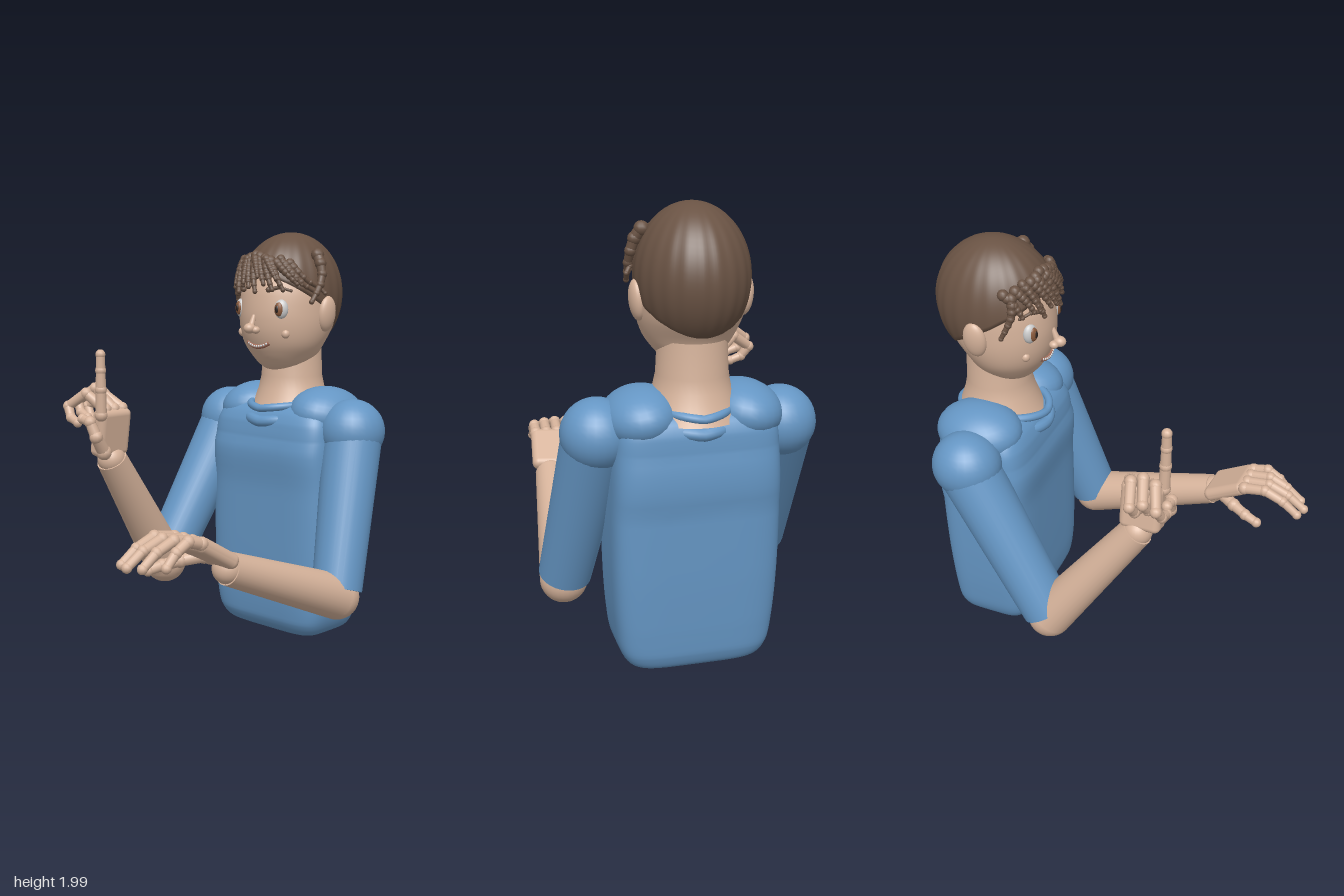
import * as THREE from 'three';
import { mergeVertices } from 'three/addons/utils/BufferGeometryUtils.js';
import { RoundedBoxGeometry } from 'three/addons/geometries/RoundedBoxGeometry.js';

const mat = (color) => {
  const m = new THREE.MeshStandardMaterial();
  m.color.set(color);
  return m;
};
const V = (p) => new THREE.Vector3(...p);
const UP = new THREE.Vector3(0, 1, 0);
const CX = -0.02; // middle of the body
const CZ = -0.57;

// Smooth closed-ring surface; fn(angle, v) gives a point, v runs bottom to top
function surface(fn, nu, nv) {
  const pos = [], idx = [];
  for (let j = 0; j <= nv; j++) for (let i = 0; i < nu; i++) pos.push(...fn((i / nu) * Math.PI * 2, j / nv));
  for (let j = 0; j < nv; j++) for (let i = 0; i < nu; i++) {
    const a = j * nu + i, b = j * nu + ((i + 1) % nu), c = a + nu, d = b + nu;
    idx.push(a, c, b, b, c, d);
  }
  let g = new THREE.BufferGeometry();
  g.setAttribute('position', new THREE.Float32BufferAttribute(pos, 3));
  g.setIndex(idx);
  g = mergeVertices(g, 1e-5);
  g.computeVertexNormals();
  return g;
}

// Loft through rows of [y, half width, front z, back z], n sets how square the sections are
function loft(rows, n, nv) {
  const curves = [0, 2].map((k) => new THREE.CatmullRomCurve3(
    rows.map((r) => (k ? new THREE.Vector3(r[2], r[3], 0) : new THREE.Vector3(r[1], r[0], 0)))));
  const pw = (t) => Math.sign(t) * Math.abs(t) ** (2 / n);
  return surface((a, v) => {
    const s = curves[0].getPoint(v), z = curves[1].getPoint(v);
    return [CX + s.x * pw(Math.cos(a)), s.y, (z.x + z.y) / 2 + ((z.x - z.y) / 2) * pw(Math.sin(a))];
  }, 64, nv);
}

export function createModel() {
  const model = new THREE.Group();
  const skin = mat(0xd6b39b), blue = mat(0x6596c4), brown = mat(0x6a5344);
  const white = mat(0xe4e4e4), iris = mat(0x8a5a3c), dark = mat(0x2c2320), lip = mat(0xa8705c);
  brown.side = THREE.DoubleSide;

  const add = (name, geo, m, parent = model) => {
    const mesh = new THREE.Mesh(geo, m);
    mesh.name = name;
    parent.add(mesh);
    return mesh;
  };
  const ball = (name, m, p, r, rot = [0, 0, 0], parent = model) => {
    const b = add(name, new THREE.SphereGeometry(1, 28, 18), m, parent);
    b.position.set(...p);
    b.scale.set(...r);
    b.rotation.set(...rot);
    return b;
  };
  // Tapered cylinder between two points
  const limb = (name, m, a, b, ra, rb, parent = model, sides = 28) => {
    const A = V(a), B = V(b), d = B.clone().sub(A);
    const c = add(name, new THREE.CylinderGeometry(rb, ra, d.length(), sides), m, parent);
    c.position.copy(A).lerp(B, 0.5);
    c.quaternion.setFromUnitVectors(UP, d.normalize());
    return c;
  };
  // Jointed chain of segments with a ball at every joint
  const chain = (name, m, pts, r0, r1) => {
    const g = new THREE.Group();
    g.name = name;
    model.add(g);
    pts.forEach((p, i) => {
      const r = r0 + ((r1 - r0) * i) / (pts.length - 1);
      const b = add('joint', new THREE.SphereGeometry(r * 1.08, 12, 8), m, g);
      b.position.set(...p);
      if (i) limb('segment', m, pts[i - 1], p, r * 1.04, r * 0.93, g, 12);
    });
  };

  // Torso, shoulder yoke, collar and neck
  add('torso', loft([
    [0.01, 0, -0.56, -0.56], [0.012, 0.2, -0.46, -0.68], [0.04, 0.29, -0.39, -0.74], [0.1, 0.328, -0.355, -0.765],
    [0.22, 0.348, -0.342, -0.775], [0.45, 0.362, -0.338, -0.785], [0.75, 0.364, -0.338, -0.79],
    [1.0, 0.355, -0.338, -0.79], [1.08, 0.345, -0.35, -0.785], [1.13, 0.32, -0.375, -0.765],
    [1.165, 0.25, -0.42, -0.72], [1.17, 0, -0.56, -0.56]], 5, 66), blue);
  for (const s of [-1, 1]) {
    ball('shoulderYoke', blue, [CX + s * 0.225, 1.13, -0.585], [0.165, 0.125, 0.205], [0, 0, -s * 0.18]);
    ball('shoulder', blue, [CX + s * 0.4, 1.055, -0.565], [0.155, 0.155, 0.16]);
  }
  for (const [y, rx, rz, t] of [[1.15, 0.165, 0.215, 0.019], [1.085, 0.185, 0.21, 0.028]]) {
    const pts = Array.from({ length: 32 }, (_, i) => {
      const a = (i / 32) * Math.PI * 2;
      return new THREE.Vector3(CX + rx * Math.cos(a), y + 0.02 * Math.abs(Math.cos(a)), -0.565 + rz * Math.sin(a));
    });
    add('collar', new THREE.TubeGeometry(new THREE.CatmullRomCurve3(pts, true), 64, t, 12, true), blue);
  }
  const neck = add('neck', new THREE.LatheGeometry(
    [[0.215, 1.12], [0.19, 1.17], [0.165, 1.24], [0.152, 1.3], [0.145, 1.45]].map((p) => new THREE.Vector2(...p)), 40), skin);
  neck.position.set(CX, 0, -0.585);

  // Head
  add('head', loft([
    [1.33, 0, -0.5, -0.5], [1.333, 0.06, -0.44, -0.57], [1.36, 0.115, -0.4, -0.63], [1.4, 0.155, -0.365, -0.69],
    [1.46, 0.196, -0.33, -0.72], [1.54, 0.222, -0.305, -0.775], [1.63, 0.23, -0.3, -0.81], [1.72, 0.226, -0.31, -0.82],
    [1.83, 0.19, -0.35, -0.78], [1.92, 0.12, -0.44, -0.7], [1.96, 0, -0.57, -0.57]], 2, 40), skin);
  for (const s of [-1, 1]) {
    const x = (d) => CX + s * d;
    ball('ear', skin, [x(0.228), 1.61, -0.57], [0.034, 0.086, 0.056], [0, 0, -s * 0.1]);
    ball('eyeWhite', white, [x(0.13), 1.635, -0.35], [0.034, 0.046, 0.024], [0, s * 0.5, 0]);
    ball('iris', iris, [x(0.13), 1.635, -0.333], [0.022, 0.033, 0.014], [0, s * 0.4, 0]);
    ball('pupil', dark, [x(0.128), 1.635, -0.322], [0.01, 0.018, 0.007], [0, s * 0.4, 0]);
    ball('cheek', skin, [x(0.14), 1.517, -0.372], [0.02, 0.022, 0.02]);
    ball('nostril', skin, [x(0.024), 1.535, -0.288], [0.02, 0.018, 0.022]);
    chain('eyebrow', brown, [[x(0.08), 1.727, -0.315], [x(0.125), 1.738, -0.34], [x(0.17), 1.722, -0.375]], 0.013, 0.007);
  }
  ball('noseTip', skin, [CX, 1.543, -0.27], [0.027, 0.025, 0.03]);
  limb('noseBridge', skin, [CX, 1.54, -0.277], [CX, 1.605, -0.302], 0.018, 0.009);
  const smile = [-0.068, -0.035, 0, 0.035, 0.068].map((d) => new THREE.Vector3(CX + d, 1.452 + 4.5 * d * d, -0.329 - 2.3 * d * d));
  add('mouth', new THREE.TubeGeometry(new THREE.CatmullRomCurve3(smile), 20, 0.011, 8), lip);
  for (let i = -4; i <= 4; i++) {
    const d = i * 0.014;
    ball('tooth', white, [CX + d, 1.454 + 4.5 * d * d, -0.321 - 2.3 * d * d], [0.006, 0.006, 0.006]);
  }

  // Hair cap: dome with a hairline that falls from the brow to the nape
  add('hairCap', surface((a, v) => {
    const c = Math.sin(a);
    const edge = Math.acos((1.63 + 0.16 * c + 0.01 * c * c - 1.7) / 0.3);
    const th = edge * Math.min(1, (1 - v) * 1.04);
    const k = (v === 0 ? 0.88 : 1) * (1 + 0.007 * Math.cos(a * 22) * Math.sin(th));
    return [CX + 0.237 * k * Math.sin(th) * Math.cos(a), 1.7 + 0.3 * Math.cos(th), CZ + 0.28 * k * Math.sin(th) * c];
  }, 132, 26), brown);

  // Fringe locks laid over the dome, swept towards the left
  const onDome = (x, y, k) => {
    const q = 1 - ((x - CX) / 0.25) ** 2 - ((Math.max(y, 1.73) - 1.7) / 0.31) ** 2;
    return [x, y, CZ + 0.28 * k * Math.sqrt(Math.max(q, 0.03))];
  };
  const lock = (x0, y0, x1, y1, k, r) => {
    const pts = [];
    for (let i = 0; i <= 6; i++) {
      const t = i / 6;
      pts.push(onDome(x0 + (x1 - x0) * t, y0 + (y1 - y0) * t - 0.02 * t * t, k + 0.05 * t));
    }
    chain('fringeLock', brown, pts, r, r * 0.45);
  };
  for (let i = 0; i < 11; i++) {
    const x = -0.215 + i * 0.041, dip = 0.02 * Math.sin(i * 2.3);
    lock(x * 0.8 - 0.04, 1.89 - Math.abs(x) * 0.25, x + 0.02, 1.755 + dip, 1.02, 0.024);
    if (i % 2) lock(x * 0.75 - 0.02, 1.87, x + 0.035, 1.79 - dip, 1.07, 0.02);
  }
  lock(-0.2, 1.82, -0.245, 1.66, 1.02, 0.024);
  lock(0.13, 1.85, 0.24, 1.73, 1.03, 0.022);
  chain('sideLock', brown, [[0.18, 1.89, -0.53], [0.207, 1.85, -0.52], [0.222, 1.8, -0.515], [0.228, 1.75, -0.495],
    [0.226, 1.71, -0.47], [0.222, 1.67, -0.44]], 0.03, 0.012);

  // Arms: shoulder, elbow, wrist
  for (const [side, sh, el, wr] of [
    ['left', [0.385, 1.05, -0.565], [0.49, 0.31, -0.325], [0.43, 0.565, 0.35]],
    ['right', [-0.425, 1.05, -0.565], [-0.49, 0.335, -0.145], [-0.42, 0.925, 0.265]]]) {
    const cuff = V(sh).lerp(V(el), 0.96).toArray();
    limb(side + 'Sleeve', blue, sh, cuff, 0.142, 0.118);
    ball(side + 'Elbow', skin, el, [0.108, 0.108, 0.108]);
    limb(side + 'Forearm', skin, el, wr, 0.108, 0.074);
    ball(side + 'Wrist', skin, wr, [0.068, 0.068, 0.068]);
  }

  // Left hand: held flat, palm down
  const palmL = add('leftPalm', new RoundedBoxGeometry(0.21, 0.07, 0.24, 4, 0.032), skin);
  palmL.position.set(0.4, 0.655, 0.45);
  palmL.rotation.set(-0.54, -0.1, 0);
  [[0.305, 0.285, 0.82], [0.36, 0.34, 0.84], [0.415, 0.4, 0.81], [0.468, 0.46, 0.735]].forEach(([x0, x1, z]) => {
    const L = z - 0.545, at = (t, y) => [x0 + (x1 - x0) * t, y, 0.545 + L * t];
    chain('leftFinger', skin, [at(0, 0.715), at(0.38, 0.735), at(0.72, 0.7), at(1, 0.645)], 0.029, 0.021);
  });
  chain('leftThumb', skin, [[0.35, 0.62, 0.41], [0.295, 0.605, 0.5], [0.26, 0.59, 0.57], [0.24, 0.575, 0.635]], 0.034, 0.023);

  // Right hand: index finger raised, the rest curled round to the thumb
  const palmR = add('rightPalm', new RoundedBoxGeometry(0.085, 0.23, 0.19, 4, 0.03), skin);
  palmR.position.set(-0.405, 1.06, 0.28);
  palmR.rotation.z = -0.15;
  chain('rightIndex', skin, [[-0.372, 1.15, 0.365], [-0.368, 1.27, 0.368], [-0.367, 1.36, 0.369], [-0.367, 1.435, 0.369]], 0.028, 0.022);
  [[0.32, 0.41, 1.23], [0.27, 0.35, 1.25], [0.22, 0.29, 1.22]].forEach(([z0, z1, y]) => {
    const z = (t) => z0 + (z1 - z0) * t;
    chain('rightFinger', skin, [[-0.395, 1.17, z0], [-0.48, y + 0.015, z(0.5)], [-0.57, y - 0.05, z(0.9)],
      [-0.535, y - 0.1, z(1.05)], [-0.48, y - 0.12, z(1.1)]], 0.028, 0.021);
  });
  chain('rightThumb', skin, [[-0.385, 0.97, 0.34], [-0.375, 1.05, 0.395], [-0.4, 1.12, 0.41], [-0.455, 1.13, 0.41]], 0.034, 0.023);

  return model;
}
